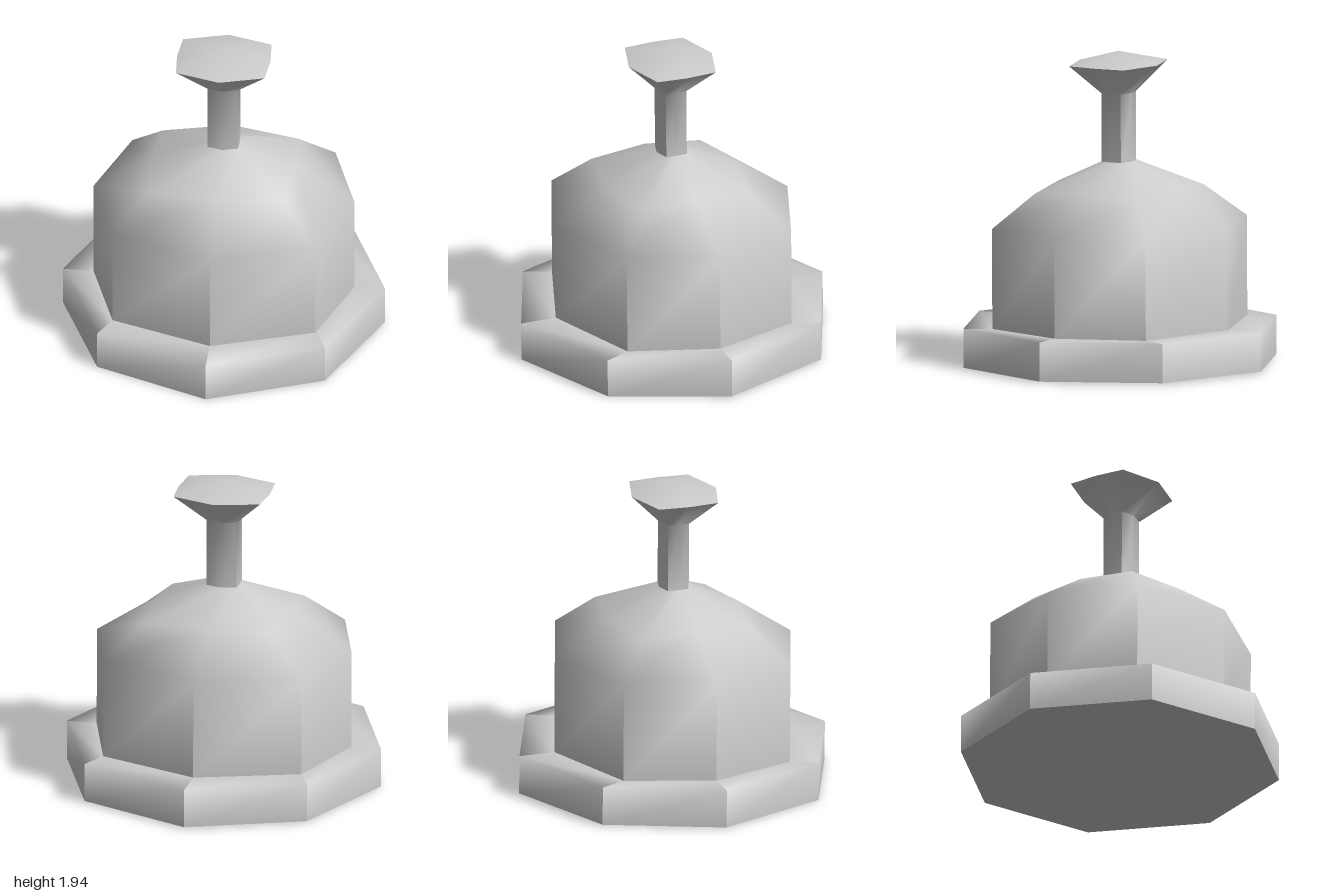
import * as THREE from 'three';
import { toCreasedNormals } from 'three/addons/utils/BufferGeometryUtils.js';

const material = new THREE.MeshStandardMaterial({ color: 0xcccccc });

// Eight-sided ring: axis points at (ax, 0) and (0, az), corner points at (cx, cz)
function ring(ax, az, cx, cz, y, cornerY = y) {
  return [[ax, 0], [cx, cz], [0, az], [-cx, cz], [-ax, 0], [-cx, -cz], [0, -az], [cx, -cz]]
    .map(([x, z], i) => [x, i % 2 ? cornerY : y, z]);
}

// Joins rings from bottom to top; optional apex closes the top
function loft(rings, apex) {
  const pos = rings.flat(2), index = [], n = 8;
  for (let r = 0; r < rings.length - 1; r++) {
    for (let i = 0; i < n; i++) {
      const a = r * n + i, b = r * n + (i + 1) % n;
      index.push(a, a + n, b, b, a + n, b + n);
    }
  }
  if (apex) {
    const top = rings.length * n, last = top - n;
    pos.push(...apex);
    for (let i = 0; i < n; i++) index.push(last + i, top, last + (i + 1) % n);
  }
  return geometry(pos, index);
}

function geometry(pos, index) {
  const g = new THREE.BufferGeometry();
  g.setAttribute('position', new THREE.Float32BufferAttribute(pos, 3));
  g.setIndex(index);
  g.computeVertexNormals();
  return g;
}

// Smooth shading that becomes faceted at vertices below a height
function facetBelow(smooth, height) {
  const g = smooth.toNonIndexed();
  const p = g.attributes.position, nrm = g.attributes.normal;
  const tri = new THREE.Triangle(), n = new THREE.Vector3();
  for (let i = 0; i < p.count; i += 3) {
    tri.setFromAttributeAndIndices(p, i, i + 1, i + 2);
    tri.getNormal(n);
    for (let k = i; k < i + 3; k++) if (p.getY(k) < height) nrm.setXYZ(k, n.x, n.y, n.z);
  }
  return g;
}

function add(parent, name, geo) {
  const mesh = new THREE.Mesh(geo, material);
  mesh.name = name;
  parent.add(mesh);
}

export function createModel() {
  const model = new THREE.Group();
  model.name = 'handBell';
  const body = new THREE.Group();
  body.name = 'body';
  // The whole body leans forward very slightly
  body.rotation.x = 0.0065;
  body.position.y = 0.0075;
  model.add(body);

  // Base: eight panels, each a wall softly shaded into its ledge
  const baseY = 0.243;
  const c = Math.SQRT1_2;
  const low = ring(1, 1, c, c, 0);
  const high = ring(1, 1, c, c, baseY);
  const inner = ring(0.81, 0.77, 0.63, 0.545, baseY);
  const base = new THREE.Group();
  base.name = 'base';
  body.add(base);
  for (let i = 0; i < 8; i++) {
    const j = (i + 1) % 8;
    const pos = [low[i], low[j], high[i], high[j], inner[i], inner[j]].flat();
    add(base, 'basePanel', geometry(pos, [0, 2, 1, 1, 2, 3, 2, 4, 3, 3, 4, 5]));
  }

  // Flat underside
  const bottom = new THREE.CircleGeometry(1, 8);
  bottom.rotateX(Math.PI / 2);
  add(base, 'baseBottom', bottom);

  // Dome: upright wall, shoulder and shallow crown
  const dome = loft([
    inner,
    ring(0.81, 0.77, 0.63, 0.545, 0.865),
    ring(0.45, 0.43, 0.42, 0.36, 1.095, 1.07),
    ring(0.1, 0.095, 0.095, 0.07, 1.248),
  ], [0, 1.26, 0]);
  add(body, 'dome', facetBelow(dome, 0.3));

  // Handle: thin stem flaring to a wide knob with a shallow pointed top
  const handle = loft([
    ring(0.098, 0.094, 0.095, 0.068, 1.22),
    ring(0.098, 0.094, 0.095, 0.068, 1.675),
    ring(0.29, 0.275, 0.275, 0.193, 1.857),
  ], [0, 1.932, 0]);
  add(body, 'handle', toCreasedNormals(handle, 0.88));

  return model;
}
